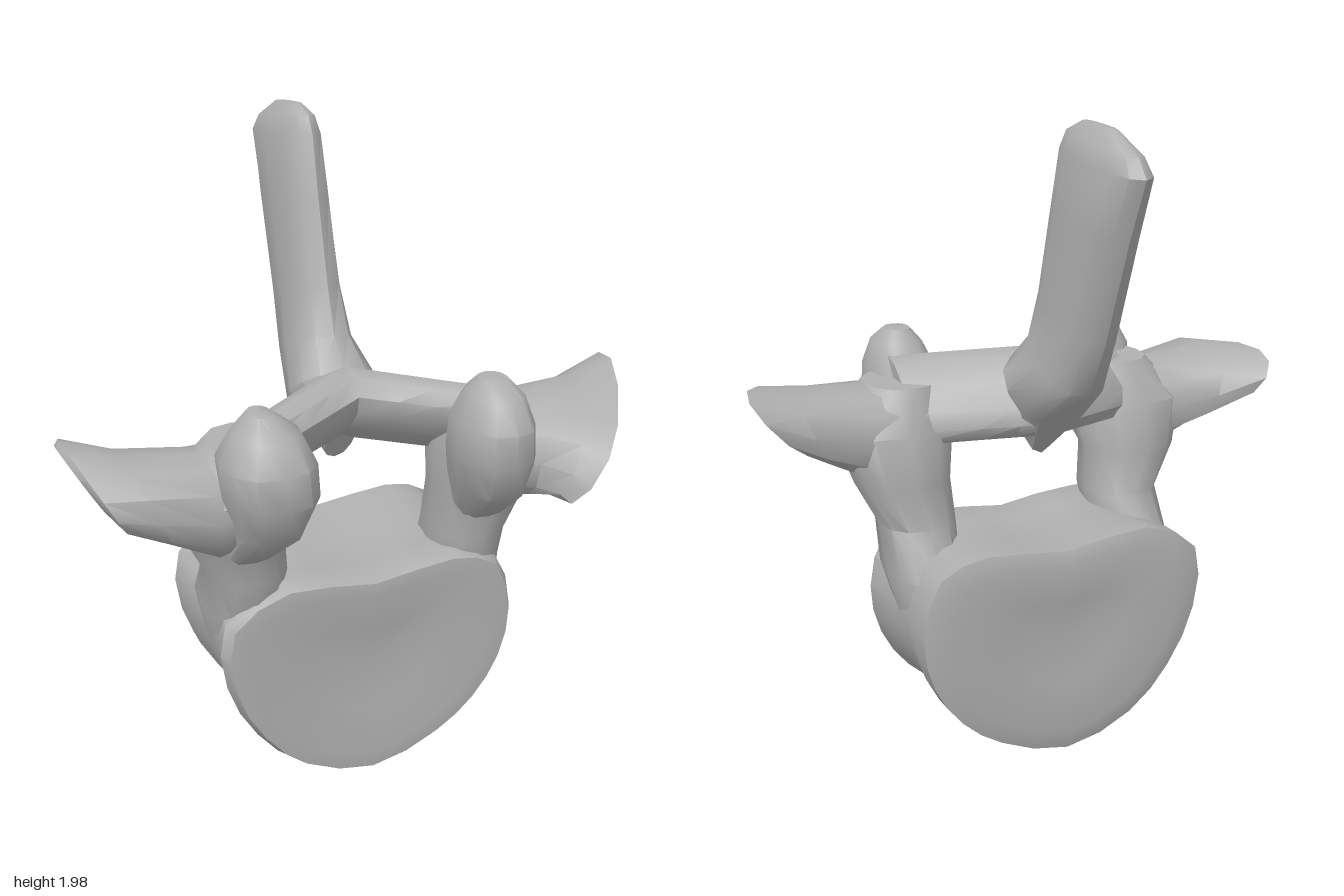
import * as THREE from 'three';
import { toCreasedNormals } from 'three/addons/utils/BufferGeometryUtils.js';

const V = (x, y, z) => new THREE.Vector3(x, y, z);

// Closed skin through rings of equal point count, with a fan over each end
function loft(rings) {
  const n = rings[0].length, last = rings.length - 1, pos = [], tris = [];
  for (const p of rings.flat()) pos.push(p.x, p.y, p.z);
  for (const ring of [rings[0], rings[last]]) {
    const c = ring.reduce((s, p) => s.add(p), V(0, 0, 0)).divideScalar(n);
    pos.push(c.x, c.y, c.z);
  }
  const c0 = n * rings.length;
  for (let j = 0; j < n; j++) {
    const k = (j + 1) % n;
    for (let i = 0; i < last; i++) {
      const a = i * n + j, b = i * n + k;
      tris.push([a, b, b + n], [a, b + n, a + n]);
    }
    tris.push([c0, k, j], [c0 + 1, last * n + j, last * n + k]);
  }
  // Turn the skin outward when its signed volume is negative
  const at = i => V().fromArray(pos, i * 3);
  const volume = tris.reduce((s, [a, b, c]) => s + at(a).dot(at(b).cross(at(c))), 0);
  const g = new THREE.BufferGeometry();
  g.setAttribute('position', new THREE.Float32BufferAttribute(pos, 3));
  g.setIndex(tris.flatMap(([a, b, c]) => (volume < 0 ? [a, c, b] : [a, b, c])));
  return toCreasedNormals(g, 0.75);
}

// Slightly squared oval around a centre with half axes a and b
function oval([cx, cy, cz], a, b, n = 12) {
  const soft = t => Math.sign(t) * Math.abs(t) ** 0.85;
  return Array.from({ length: n }, (_, i) => {
    const t = (i / n) * Math.PI * 2, u = soft(Math.cos(t)), v = soft(Math.sin(t));
    return V(cx + a[0] * u + b[0] * v, cy + a[1] * u + b[1] * v, cz + a[2] * u + b[2] * v);
  });
}

// Horizontal oval rings: [x, y, z, half width, half depth]
const column = rows => loft(rows.map(([x, y, z, rx, rz]) => oval([x, y, z], [rx, 0, 0], [0, 0, rz])));

export function createModel() {
  const group = new THREE.Group();
  const bone = new THREE.MeshStandardMaterial({ color: 0xb0b0b0 });
  bone.name = 'boneGrey';
  const add = (name, geometry) => {
    const mesh = new THREE.Mesh(geometry, bone);
    mesh.name = name;
    group.add(mesh);
  };

  // Heart-shaped body with a slight waist and dished ends
  const outline = new THREE.CatmullRomCurve3([
    [0, 0.7], [0.27, 0.73], [0.42, 0.68], [0.48, 0.5], [0.45, 0.33], [0.36, 0.19], [0.23, 0.09],
    [0, 0.015], [-0.23, 0.09], [-0.37, 0.23], [-0.46, 0.42], [-0.46, 0.63], [-0.28, 0.73],
  ].map(([x, y]) => V(x, y, 0)), true).getPoints(26).slice(0, 26);
  const slices = [[-0.165, 0.4], [-0.19, 0.82], [-0.17, 0.99], [-0.1, 0.99], [0.05, 0.94],
    [0.2, 0.95], [0.3, 1], [0.335, 0.96], [0.34, 0.82], [0.315, 0.4]];
  add('vertebralBody', loft(slices.map(([z, s]) =>
    outline.map(p => V(p.x * s, 0.4 + (p.y - 0.4) * s + (0.3 - z) * 0.03, z)))));

  // Pedicles rising from the body
  for (const s of [1, -1]) {
    add(s > 0 ? 'leftPedicle' : 'rightPedicle', column([
      [s * 0.36, 0.48, 0.1, 0.09, 0.13], [s * 0.37, 0.62, 0.13, 0.11, 0.18],
      [s * 0.36, 0.76, 0.19, 0.12, 0.14], [s * 0.4, 0.9, 0.2, 0.15, 0.15],
      [s * 0.41, 1.06, 0.25, 0.19, 0.18], [s * 0.37, 1.19, 0.27, 0.11, 0.13],
    ]));
  }

  // Articular knobs standing at the front of the arch
  add('leftArticularKnob', column([
    [0.37, 0.84, 0.26, 0.08, 0.08], [0.33, 0.98, 0.37, 0.09, 0.15], [0.32, 1.1, 0.41, 0.11, 0.16],
    [0.315, 1.2, 0.42, 0.105, 0.15], [0.32, 1.28, 0.42, 0.075, 0.1], [0.32, 1.32, 0.41, 0.04, 0.05],
  ]));
  add('rightArticularKnob', column([
    [-0.38, 0.84, 0.26, 0.08, 0.08], [-0.36, 0.98, 0.37, 0.1, 0.15], [-0.36, 1.1, 0.41, 0.13, 0.17],
    [-0.37, 1.2, 0.43, 0.13, 0.15], [-0.37, 1.28, 0.43, 0.09, 0.1], [-0.38, 1.33, 0.42, 0.03, 0.05],
  ]));

  // Transverse wings, each flaring to its own tip
  add('leftTransverseWing', loft([
    oval([0.32, 1.04, 0.24], [0, 0, 0.15], [0.02, 0.13, 0]),
    oval([0.48, 1.04, 0.27], [-0.01, 0, 0.18], [0, 0.15, 0]),
    oval([0.61, 1.06, 0.31], [-0.08, -0.03, 0.22], [0.06, 0.13, 0]),
    oval([0.7, 1.08, 0.325], [-0.14, -0.08, 0.255], [0.09, 0.12, 0.02]),
    oval([0.72, 1.08, 0.33], [-0.1, -0.06, 0.17], [0.06, 0.08, 0.01]),
  ]));
  add('rightTransverseWing', loft([
    oval([-0.32, 1.04, 0.25], [0, 0, 0.16], [-0.02, 0.13, 0]),
    oval([-0.5, 1.02, 0.26], [0, 0, 0.165], [-0.02, 0.15, 0]),
    oval([-0.67, 1.07, 0.26], [0, 0.01, 0.21], [-0.05, 0.12, 0]),
    oval([-0.79, 1.1, 0.2], [0.02, -0.02, 0.215], [-0.05, 0.09, 0]),
    oval([-0.82, 1.12, 0.19], [0.02, -0.02, 0.16], [-0.03, 0.05, 0]),
  ]));

  // Laminae closing the arch behind the canal
  const laminae = [];
  for (const x of [-0.38, -0.2, -0.1, 0, 0.1, 0.2, 0.38]) {
    const t = Math.abs(x);
    laminae.push(oval([x, 1.165 - 0.11 * t, 0.05 + 0.56 * t], [0, 0.11, 0.12], [0, 0.055, -0.085 + 0.05 * t]));
  }
  add('laminae', loft(laminae));

  // Tall spine blade: [front z, front y, back z, back y, half width]
  add('spineBlade', loft([
    [0.15, 1.19, 0.02, 0.97, 0.05], [0.1, 1.28, -0.13, 1.11, 0.13], [0.02, 1.36, -0.29, 1.23, 0.095],
    [-0.03, 1.5, -0.38, 1.4, 0.08], [-0.1, 1.75, -0.5, 1.7, 0.075], [-0.14, 1.92, -0.58, 1.87, 0.065],
    [-0.17, 1.97, -0.54, 1.92, 0.05], [-0.24, 1.995, -0.42, 1.98, 0.02],
  ].map(([zf, yf, zb, yb, w]) =>
    oval([0, (yf + yb) / 2, (zf + zb) / 2], [0, (yf - yb) / 2, (zf - zb) / 2], [w, 0, 0]))));

  return group;
}
